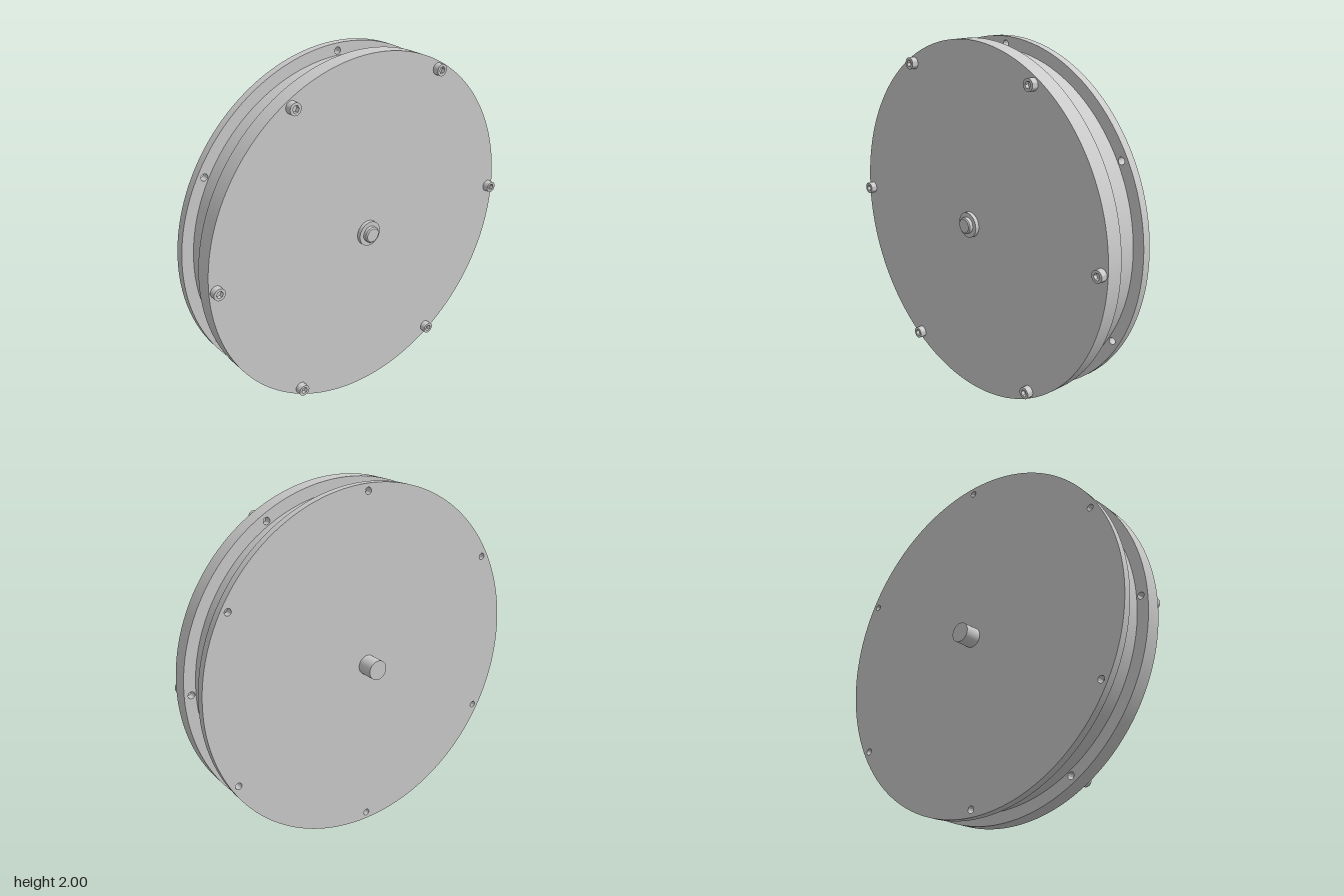
import * as THREE from 'three';
import { toCreasedNormals } from 'three/addons/utils/BufferGeometryUtils.js';

const material = new THREE.MeshStandardMaterial({ color: 0xcccccc });
const HOLE_CIRCLE = 0.96;

export function createModel() {
  const model = new THREE.Group();
  const wheel = new THREE.Group();
  wheel.name = 'wheel';
  wheel.position.y = 1;
  model.add(wheel);

  const add = (name, geometry, parent = wheel) => {
    const mesh = new THREE.Mesh(geometry, material);
    mesh.name = name;
    parent.add(mesh);
    return mesh;
  };

  // Six points on the hole circle, starting at a given angle
  const ring = (start) => Array.from({ length: 6 }, (_, i) => {
    const a = start + i * Math.PI / 3;
    return new THREE.Vector2(Math.cos(a) * HOLE_CIRCLE, Math.sin(a) * HOLE_CIRCLE);
  });

  // Extrude a shape along z between two depths
  const extrude = (shape, z0, z1, curveSegments) => {
    const g = new THREE.ExtrudeGeometry(shape, { depth: z1 - z0, bevelEnabled: false, curveSegments });
    g.translate(0, 0, z0);
    return toCreasedNormals(g, 0.6);
  };

  // Disc with six through holes
  const plate = (name, z0, z1, start) => {
    const shape = new THREE.Shape().absarc(0, 0, 1, 0, Math.PI * 2, false);
    for (const p of ring(start)) {
      shape.holes.push(new THREE.Path().absarc(p.x, p.y, 0.019, 0, Math.PI * 2, true));
    }
    add(name, extrude(shape, z0, z1, 120));
  };

  // Cylinder along z
  const rod = (name, r, z0, z1, segments = 48, parent = wheel) => {
    const g = new THREE.CylinderGeometry(r, r, z1 - z0, segments);
    g.rotateX(Math.PI / 2);
    g.translate(0, 0, (z0 + z1) / 2);
    return add(name, g, parent);
  };

  // Drum and its flanges; the back holes sit between the front ones
  rod('drum', 0.935, -0.082, 0.081, 120);
  plate('backFlange', -0.127, -0.082, Math.PI / 6);
  plate('frontFlange', 0.081, 0.125, 0);
  plate('frontCover', 0.125, 0.173, 0);

  // Axle with a collar and chamfered front tip
  rod('axle', 0.056, -0.225, -0.12);
  rod('axleCollar', 0.071, 0.17, 0.195);
  const tip = [[0, 0.19], [0.046, 0.19], [0.046, 0.214], [0.039, 0.22], [0, 0.22]]
    .map(([r, z]) => new THREE.Vector2(r, z));
  const tipGeometry = new THREE.LatheGeometry(tip, 48);
  tipGeometry.rotateX(Math.PI / 2);
  add('axleTip', toCreasedNormals(tipGeometry, 0.5));

  // Socket-head cover bolts
  const headShape = new THREE.Shape().absarc(0, 0, 0.033, 0, Math.PI * 2, false);
  const hexagon = Array.from({ length: 6 }, (_, i) => {
    const a = -i * Math.PI / 3;
    return new THREE.Vector2(Math.cos(a) * 0.02, Math.sin(a) * 0.02);
  });
  headShape.holes.push(new THREE.Path(hexagon));
  const headGeometry = extrude(headShape, 0.173, 0.209, 32);
  for (const p of ring(0)) {
    const bolt = new THREE.Group();
    bolt.name = 'coverBolt';
    bolt.position.set(p.x, p.y, 0);
    add('boltHead', headGeometry, bolt);
    rod('socketFloor', 0.026, 0.174, 0.188, 24, bolt);
    rod('boltShank', 0.0188, 0.125, 0.18, 24, bolt);
    wheel.add(bolt);
  }

  return model;
}
